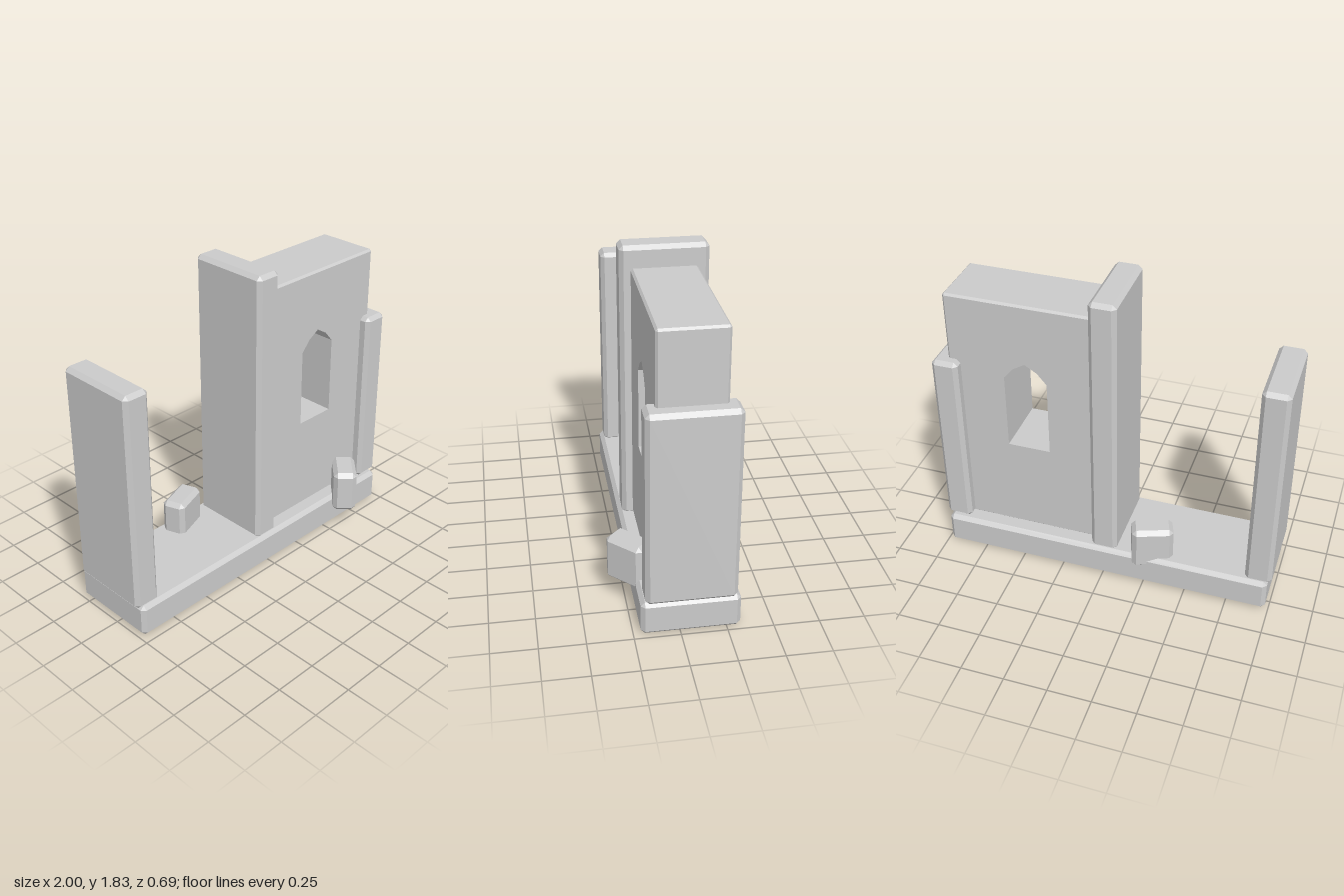
import * as THREE from 'three';
import { ConvexGeometry } from 'three/addons/geometries/ConvexGeometry.js';

const stone = new THREE.MeshStandardMaterial({ color: 0xcccccc, flatShading: true });

// Box with every edge chamfered by c
function chamferBox(w, h, d, c) {
  const points = [];
  for (const sx of [-1, 1]) for (const sy of [-1, 1]) for (const sz of [-1, 1]) {
    for (let axis = 0; axis < 3; axis++) {
      const half = [w / 2, h / 2, d / 2].map((v, i) => (i === axis ? v : v - c));
      points.push(new THREE.Vector3(sx * half[0], sy * half[1], sz * half[2]));
    }
  }
  return new ConvexGeometry(points);
}

function addStone(group, name, [x0, x1], [y0, y1], [z0, z1], c = 0.023) {
  const mesh = new THREE.Mesh(chamferBox(x1 - x0, y1 - y0, z1 - z0, c), stone);
  mesh.position.set((x0 + x1) / 2, (y0 + y1) / 2, (z0 + z1) / 2);
  mesh.name = name;
  group.add(mesh);
  return mesh;
}

// Wall slab with chamfered outer edges and a sharp-edged pointed window
function windowWall(x0, x1, y0, y1, z0, z1, c) {
  const outline = new THREE.Shape([
    [x0 + c, y0], [x1 - c, y0], [x1, y0 + c], [x1, y1 - c],
    [x1 - c, y1], [x0 + c, y1], [x0, y1 - c], [x0, y0 + c],
  ].map(([x, y]) => new THREE.Vector2(x, y)));
  outline.holes.push(new THREE.Path([
    [0.335, 0.775], [0.335, 1.235], [0.39, 1.3], [0.46, 1.343],
    [0.53, 1.3], [0.585, 1.235], [0.585, 0.775],
  ].map(([x, y]) => new THREE.Vector2(x, y))));
  const geometry = new THREE.ExtrudeGeometry(outline, { depth: 3, steps: 3, bevelEnabled: false });
  const layers = [z0, z0 + c, z1 - c, z1];
  const pos = geometry.attributes.position;
  for (let i = 0; i < pos.count; i++) {
    const layer = Math.round(pos.getZ(i));
    pos.setZ(i, layers[layer]);
    // Front and back faces shrink inward to form the chamfer
    if (layer === 0 || layer === 3) {
      pos.setX(i, THREE.MathUtils.clamp(pos.getX(i), x0 + c, x1 - c));
      pos.setY(i, THREE.MathUtils.clamp(pos.getY(i), y0 + c, y1 - c));
    }
  }
  geometry.computeVertexNormals();
  return geometry;
}

export function createModel() {
  const group = new THREE.Group();
  group.name = 'ruinedWall';

  addStone(group, 'base', [-0.98, 0.98], [0, 0.197], [-0.325, 0.21]);

  // Pillars of different broken heights
  const depth = [-0.302, 0.188];
  addStone(group, 'rightPillar', [-1, -0.845], [0.18, 1.48], depth);
  addStone(group, 'middlePillar', [-0.08, 0.075], [0.18, 1.83], depth);
  addStone(group, 'leftPillar', [0.842, 0.997], [0.197, 1.3], depth);

  const wall = new THREE.Mesh(windowWall(0, 0.915, 0.2, 1.707, -0.24, 0.127, 0.012), stone);
  wall.name = 'windowWall';
  group.add(wall);

  // Fallen blocks
  for (const [name, x, z, turn] of [
    ['frontRubble', 0.643, 0.224, Math.PI / 4],
    ['backRubble', -0.282, -0.247, 0.35],
  ]) {
    const block = addStone(group, name, [-0.12, 0.12], [0.13, 0.395], [-0.07, 0.07], 0.025);
    block.position.x = x;
    block.position.z = z;
    block.rotation.y = turn;
  }
  return group;
}
